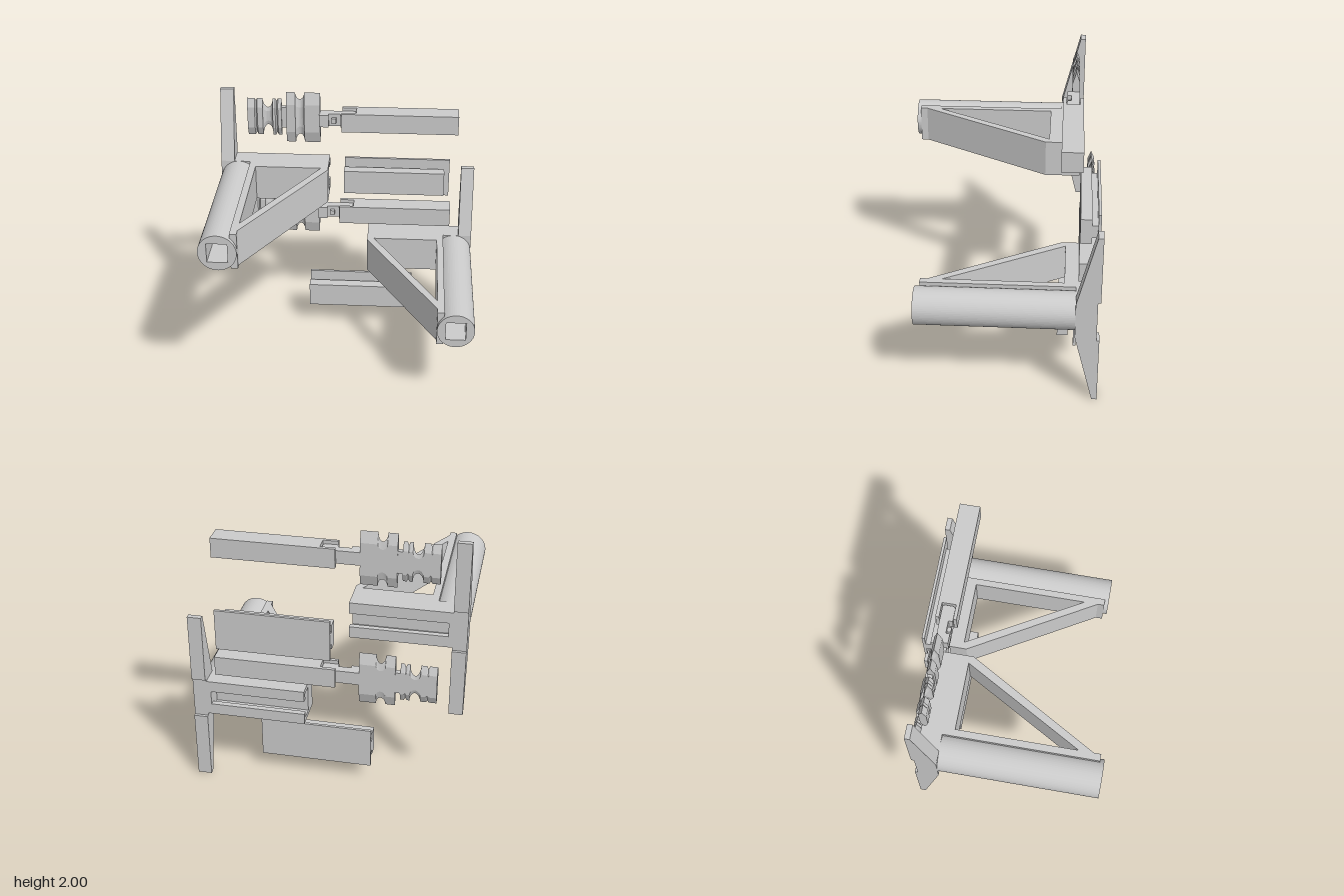
import * as THREE from 'three';

const material = new THREE.MeshStandardMaterial({ color: 0xcccccc, side: THREE.DoubleSide });

function add(parent, name, geometry) {
  const mesh = new THREE.Mesh(geometry, material);
  mesh.name = name;
  parent.add(mesh);
  return mesh;
}

function box(parent, name, [x0, x1], [y0, y1], [z0, z1]) {
  const mesh = add(parent, name, new THREE.BoxGeometry(x1 - x0, y1 - y0, z1 - z0));
  mesh.position.set((x0 + x1) / 2, (y0 + y1) / 2, (z0 + z1) / 2);
  return mesh;
}

const polygon = (pts) => new THREE.Shape(pts.map(([a, b]) => new THREE.Vector2(a, b)));
const extrude = (shape, depth, curveSegments = 12) =>
  new THREE.ExtrudeGeometry(shape, { depth, bevelEnabled: false, curveSegments });

// Outline given as [z, y], swept from x0 to x1
const sweepX = (pts, x0, x1) =>
  extrude(polygon(pts.map(([z, y]) => [-z, y])), x1 - x0).rotateY(Math.PI / 2).translate(x0, 0, 0);

// Outline given as [x, z], swept symmetrically about y = 0
const sweepY = (shape, height) =>
  extrude(shape, height).rotateX(Math.PI / 2).translate(0, height / 2, 0);

// Wall bracket, centred on the height of its tube
function createBracket(name) {
  const g = new THREE.Group();
  g.name = name;
  const h = 0.135;

  // Tube with a square socket
  const ring = new THREE.Shape().absarc(-0.825, 0, h, 0, Math.PI * 2);
  const s = 0.072;
  ring.holes.push(polygon([[-0.825 - s, -s], [-0.825 - s, s], [-0.825 + s, s], [-0.825 + s, -s]]));
  add(g, 'tube', extrude(ring, 1.12, 32).translate(0, 0, -0.405));

  // Tapered mounting arms, recessed slightly behind the beam
  const half = [[-0.405, h], [-0.538, 0.662], [-0.575, 0.662], [-0.575, 0.155], [-0.555, 0.155]];
  const mirrored = half.map(([z, y]) => [z, -y]).reverse();
  add(g, 'mountingArm', sweepX([...half, ...mirrored], -0.96, -0.86));

  // Beam with a T-slot open at the back and the inner end
  const slot = [[-0.405, h], [-0.555, h], [-0.555, 0.052], [-0.515, 0.052], [-0.515, 0.098], [-0.43, 0.098]];
  add(g, 'slottedBeam', sweepX([...slot, ...slot.map(([z, y]) => [z, -y]).reverse()], -0.83, -0.147));
  box(g, 'beamEnd', [-0.86, -0.83], [-h, h], [-0.555, -0.405]);

  // Triangular brace between beam and tube
  const brace = polygon([[-0.74, -0.405], [-0.147, -0.405], [-0.147, -0.3],
    [-0.69, 0.635], [-0.69, 0.685], [-0.74, 0.685]]);
  brace.holes.push(polygon([[-0.69, -0.325], [-0.69, 0.53], [-0.2, -0.325]]));
  add(g, 'brace', sweepY(brace, h * 2));
  return g;
}

// T-shaped slide that fits the bracket slot
function createSlide(name) {
  const g = new THREE.Group();
  g.name = name;
  box(g, 'slideBlock', [0, 0.77], [-0.094, 0.094], [-0.5, -0.42]);
  box(g, 'slideNeck', [0, 0.77], [-0.047, 0.047], [-0.54, -0.5]);
  box(g, 'slidePlate', [0, 0.812], [-0.153, 0.153], [-0.56, -0.54]);
  return g;
}

// Flattened turned body: stations [x, half height, base half height]
function flattenedTurning(stations) {
  const pos = [], index = [], n = 6, back = -0.535;
  for (const [x, r, base] of stations) {
    const front = -0.482 - Math.min(0.035, (base - r) * 0.5);
    const mid = (front + back) / 2;
    for (const [y, z] of [[1, mid], [0.55, front], [-0.55, front], [-1, mid], [-0.6, back], [0.6, back]])
      pos.push(x, y * r, z);
  }
  const last = (stations.length - 1) * n;
  for (let i = 0; i < last; i += n)
    for (let j = 0; j < n; j++) {
      const k = (j + 1) % n;
      index.push(i + j, i + k, i + n + j, i + k, i + n + k, i + n + j);
    }
  for (let j = 1; j < n - 1; j++) index.push(0, j + 1, j, last, last + j, last + j + 1);
  const indexed = new THREE.BufferGeometry();
  indexed.setAttribute('position', new THREE.Float32BufferAttribute(pos, 3));
  indexed.setIndex(index);
  const geometry = indexed.toNonIndexed();
  geometry.computeVertexNormals();
  return geometry;
}

// Rounded groove stations
function groove(cx, halfWidth, r, depth) {
  return Array.from({ length: 13 }, (_, i) => {
    const a = Math.PI * (1 - i / 12);
    return [cx + halfWidth * Math.cos(a), r - depth * Math.sin(a), r];
  });
}

const nick = (x, r) => [[x - 0.01, r, r], [x, r - 0.02, r], [x + 0.01, r, r]];

// Bar with a grooved handle on a link
function createHandleBar(name) {
  const g = new THREE.Group();
  g.name = name;

  // Bar with a notch that receives the link
  add(g, 'bar', sweepY(polygon([[-0.053, -0.565], [0.81, -0.565], [0.81, -0.42], [-0.053, -0.42],
    [-0.053, -0.443], [0.055, -0.443], [0.055, -0.54], [-0.053, -0.54]]), 0.144));

  // Link stepped in front, with a small square pin
  add(g, 'link', sweepY(polygon([[-0.22, -0.535], [0.04, -0.535], [0.05, -0.525], [0.05, -0.46],
    [0.04, -0.447], [-0.06, -0.447], [-0.06, -0.475], [-0.15, -0.475], [-0.15, -0.447], [-0.22, -0.447]]), 0.096));
  box(g, 'linkPin', [-0.127, -0.094], [-0.02, 0.02], [-0.5, -0.447]);

  const r = 0.147, R = 0.2;
  add(g, 'handleEnd', flattenedTurning([[-0.757, r, r], ...nick(-0.693, r),
    ...groove(-0.606, 0.037, r, 0.077), ...nick(-0.539, r), [-0.503, r, r]]));
  box(g, 'handleCollar', [-0.505, -0.466], [-0.081, 0.081], [-0.533, -0.495]);
  add(g, 'handleDrum', flattenedTurning([[-0.468, R, R],
    ...groove(-0.367, 0.033, R, 0.06), [-0.215, R, R]]));
  return g;
}

export function createModel() {
  const model = new THREE.Group();
  model.name = 'bracketKit';
  const place = (part, x, y, z) => {
    part.position.set(x, y, z);
    model.add(part);
    return part;
  };
  place(createBracket('rightBracket'), 0, 1.338, 0);
  place(createBracket('leftBracket'), 0, 0.665, -0.14).rotation.z = Math.PI;
  place(createSlide('upperSlide'), -0.043, 1.238, -0.14);
  place(createSlide('lowerSlide'), -0.31, 0.283, 0);
  place(createHandleBar('upperHandleBar'), 0, 1.8, 0);
  place(createHandleBar('lowerHandleBar'), -0.025, 0.947, -0.14);
  return model;
}
